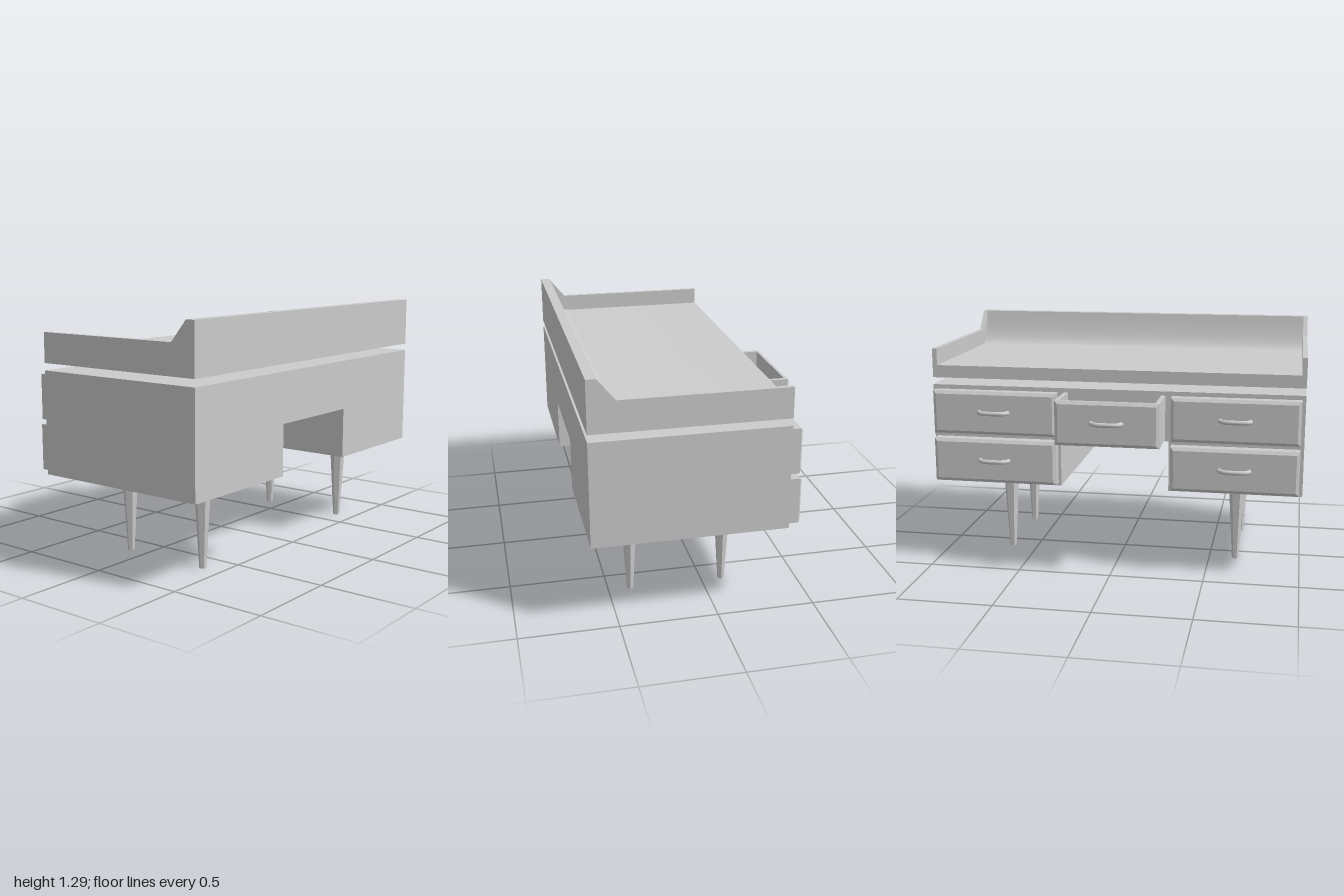
import * as THREE from 'three';
import { toCreasedNormals } from 'three/addons/utils/BufferGeometryUtils.js';

const FRONT = -0.352, BACK = 0.63; // cabinet extent in x (drawers face -x)

export function createModel() {
  const desk = new THREE.Group();
  desk.name = 'desk';
  const mat = new THREE.MeshStandardMaterial({ color: 0xcccccc });

  const add = (name, geo, x = 0, y = 0, z = 0, parent = desk) => {
    const mesh = new THREE.Mesh(geo, mat);
    mesh.name = name;
    mesh.position.set(x, y, z);
    parent.add(mesh);
    return mesh;
  };
  const boxBetween = (name, x0, x1, y0, y1, z0, z1, parent) =>
    add(name, new THREE.BoxGeometry(x1 - x0, y1 - y0, z1 - z0),
      (x0 + x1) / 2, (y0 + y1) / 2, (z0 + z1) / 2, parent);
  const polygon = (pts) => new THREE.Shape(pts.map(([x, y]) => new THREE.Vector2(x, y)));
  const extrude = (shape, depth) =>
    new THREE.ExtrudeGeometry(shape, { depth, bevelEnabled: false, curveSegments: 12 });

  // Cabinet with knee opening, profile in z/y extruded along x
  const cabinet = extrude(polygon([
    [-1, 0.445], [-0.293, 0.445], [-0.293, 0.717], [0.293, 0.717],
    [0.293, 0.445], [1, 0.445], [1, 0.985], [-1, 0.985],
  ]), BACK - FRONT);
  cabinet.rotateY(Math.PI / 2);
  add('cabinet', cabinet, FRONT);

  // Worktop with a coved back wall
  const cove = polygon([[FRONT, 1.023], [BACK, 1.023], [BACK, 1.287], [0.577, 1.287]]);
  cove.quadraticCurveTo(0.54, 1.09, 0.48, 1.09);
  cove.lineTo(FRONT, 1.09);
  add('worktop', toCreasedNormals(extrude(cove, 1.95), 0.5), 0, 0, -0.975);

  // Side rails
  const rail = extrude(polygon([
    [FRONT, 1.023], [BACK, 1.023], [BACK, 1.287], [0.58, 1.287], [0.492, 1.18], [FRONT, 1.18],
  ]), 0.025);
  add('sideRail', rail, 0, 0, -1);
  add('sideRail', rail, 0, 0, 0.975);

  // Tapered six-sided legs
  const legGeo = new THREE.CylinderGeometry(0.045, 0.018, 0.447, 6).toNonIndexed();
  legGeo.computeVertexNormals();
  for (const x of [-0.107, 0.385])
    for (const z of [-0.645, 0.645]) add('leg', legGeo, x, 0.2235, z);

  // Drawer front: a slab whose front edge is chamfered
  const slab = (depth, height, width, bevel = 0.017) => {
    const geo = new THREE.BoxGeometry(depth, height, width, 2, 1, 1);
    const p = geo.attributes.position;
    for (let i = 0; i < p.count; i++) {
      if (Math.abs(p.getX(i)) < 1e-6) p.setX(i, -depth / 2 + 0.012);
      else if (p.getX(i) < 0) {
        p.setY(i, p.getY(i) - Math.sign(p.getY(i)) * bevel);
        p.setZ(i, p.getZ(i) - Math.sign(p.getZ(i)) * bevel);
      }
    }
    const flat = geo.toNonIndexed();
    flat.computeVertexNormals();
    return flat;
  };

  // Bow handle
  const bow = new THREE.CatmullRomCurve3([
    [0.01, -0.076], [-0.012, -0.078], [-0.03, -0.06], [-0.038, -0.03],
    [-0.039, 0], [-0.038, 0.03], [-0.03, 0.06], [-0.012, 0.078], [0.01, 0.076],
  ].map(([x, z]) => new THREE.Vector3(x, 0, z)));
  const handleGeo = new THREE.TubeGeometry(bow, 32, 0.012, 10, false);

  const drawerFront = (group, x0, x1, y0, y1, z0, z1) => {
    const y = (y0 + y1) / 2, z = (z0 + z1) / 2;
    add('drawerFront', slab(x1 - x0, y1 - y0, z1 - z0), (x0 + x1) / 2, y, z, group);
    add('handle', handleGeo, x0, y + 0.007, z, group);
  };
  const drawerGroup = (name) => {
    const g = new THREE.Group();
    g.name = name;
    desk.add(g);
    return g;
  };

  // Closed drawers, two on each side
  for (const [z0, z1] of [[-0.985, -0.308], [0.308, 0.982]]) {
    drawerFront(drawerGroup('upperDrawer'), -0.412, FRONT, 0.727, 0.962, z0, z1);
    drawerFront(drawerGroup('lowerDrawer'), -0.418, FRONT, 0.462, 0.7, z0, z1);
  }

  // Centre drawer, pulled out and open on top
  const centre = drawerGroup('centreDrawer');
  drawerFront(centre, -0.582, -0.555, 0.727, 0.962, -0.273, 0.273);
  boxBetween('drawerSide', -0.555, FRONT, 0.727, 0.962, -0.273, -0.25, centre);
  boxBetween('drawerSide', -0.555, FRONT, 0.727, 0.962, 0.25, 0.273, centre);
  boxBetween('drawerBottom', -0.555, FRONT, 0.727, 0.78, -0.25, 0.25, centre);

  return desk;
}
